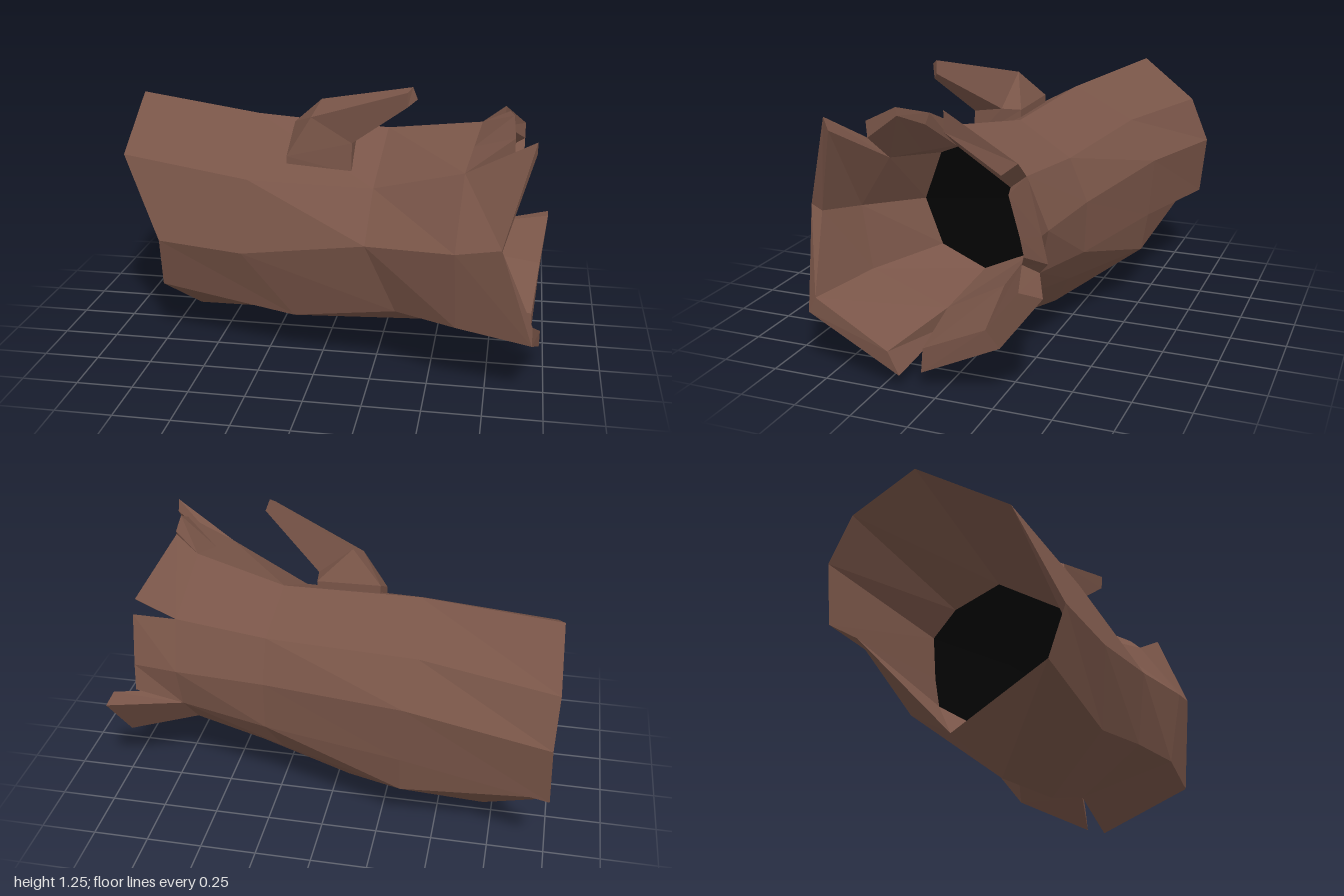
import * as THREE from 'three';

const bark = new THREE.MeshStandardMaterial({ color: 0x795548, flatShading: true, side: THREE.DoubleSide });
bark.name = 'brown bark';
const hollow = new THREE.MeshStandardMaterial({ color: 0x030303, flatShading: true, side: THREE.DoubleSide });
hollow.name = 'black hollow';

// Mesh from quads [a, b, c, d] of points
function quadMesh(name, quads, material) {
  const pos = [];
  for (const [a, b, c, d] of quads) pos.push(...a, ...b, ...c, ...a, ...c, ...d);
  const geo = new THREE.BufferGeometry();
  geo.setAttribute('position', new THREE.Float32BufferAttribute(pos, 3));
  geo.computeVertexNormals();
  const mesh = new THREE.Mesh(geo, material);
  mesh.name = name;
  return mesh;
}

// Quads between successive rows of points
function loft(rows, closed) {
  const quads = [];
  for (let i = 0; i + 1 < rows.length; i++) {
    const n = rows[i].length;
    for (let j = 0; j < (closed ? n : n - 1); j++) {
      const k = (j + 1) % n;
      quads.push([rows[i][j], rows[i][k], rows[i + 1][k], rows[i + 1][j]]);
    }
  }
  return quads;
}

const mix = (a, b, t) => a.map((v, i) => v + (b[i] - v) * t);

// Shallow black cone closing the hollow
function cone(name, ring, apex, flip) {
  const pos = ring.flatMap((p, j) => {
    const q = ring[(j + 1) % ring.length];
    return flip ? [...apex, ...q, ...p] : [...apex, ...p, ...q];
  });
  const geo = new THREE.BufferGeometry();
  geo.setAttribute('position', new THREE.Float32BufferAttribute(pos, 3));
  geo.computeVertexNormals();
  const mesh = new THREE.Mesh(geo, hollow);
  mesh.name = name;
  return mesh;
}

// Nine ridges of the trunk, each running from the cut end to the split end;
// order: front top, front, front low, bottom, back low, back, back mid, back top, top
const ridges = [
  [[-0.97, 0.85, 0.09], [-0.34, 0.81, 0.26], [0.23, 0.81, 0.29], [0.63, 0.94, 0.43]],
  [[-0.76, 0.50, 0.27], [-0.35, 0.50, 0.37], [0.22, 0.61, 0.48], [0.61, 0.65, 0.62]],
  [[-0.77, 0.26, 0.20], [-0.12, 0.20, 0.32], [0.35, 0.30, 0.43], [0.62, 0.30, 0.56]],
  [[-0.71, 0.00, -0.20], [-0.06, 0.03, -0.14], [0.41, 0.08, 0.00], [0.64, 0.15, 0.11]],
  [[-1.00, 0.30, -0.50], [-0.35, 0.24, -0.48], [0.22, 0.27, -0.30], [0.65, 0.33, -0.22]],
  [[-1.00, 0.37, -0.62], [-0.35, 0.42, -0.51], [0.28, 0.43, -0.39], [0.68, 0.47, -0.33]],
  [[-0.99, 0.65, -0.65], [-0.36, 0.69, -0.53], [0.28, 0.66, -0.40], [0.69, 0.66, -0.37]],
  [[-1.00, 0.86, -0.56], [-0.40, 0.87, -0.40], [0.28, 0.85, -0.32], [0.70, 0.88, -0.28]],
  [[-0.99, 1.06, -0.31], [-0.37, 1.02, -0.13], [0.25, 0.99, -0.08], [0.68, 1.06, 0.02]],
];
const rings = [0, 1, 2, 3].map(i => ridges.map(r => r[i]));

// Roots of the flaps outside and inside, with an extra point under the top flap
const base = [...rings[3], mix(rings[3][8], rings[3][0], 0.5)];
const innerBase = base.map(p => mix(p, [p[0], 0.6, 0.08], 0.19));

// Rim of the dark core behind the split end
const throat = [[0.36, 0.84, 0.25], [0.30, 0.60, 0.36], [0.30, 0.39, 0.28], [0.28, 0.29, 0.08],
  [0.25, 0.39, -0.15], [0.25, 0.47, -0.19], [0.25, 0.57, -0.24], [0.25, 0.75, -0.18],
  [0.28, 0.89, 0.00], [0.32, 0.89, 0.12]];

// Splintered flaps: root ridge numbers, outer tips, inner tips as [y, z]
const flaps = [
  ['frontFlap', [0, 1, 2, 3],
    [[0.92, 1.105, 0.50], [0.80, 0.69, 0.65], [0.94, 0.26, 0.605], [0.98, 0.06, 0.17]],
    [[1.05, 0.48], [0.665, 0.60], [0.33, 0.57], [0.16, 0.22]]],
  ['lowerBackFlap', [3, 4, 5],
    [[0.94, 0.07, 0.09], [0.97, 0.25, -0.27], [1.00, 0.50, -0.46]],
    [[0.18, 0.08], [0.32, -0.21], [0.51, -0.36]]],
  ['backSplinter', [5, 6, 7],
    [[0.86, 0.585, -0.43], [0.865, 0.70, -0.405], [0.87, 0.925, -0.35]],
    [[0.60, -0.33], [0.68, -0.315], [0.85, -0.27]]],
  ['upperBackFlap', [7, 8],
    [[0.87, 0.98, -0.31], [0.78, 1.14, 0.04]],
    [[0.925, -0.24], [1.05, 0.04]]],
  ['topFlap', [8, 9, 0],
    [[0.80, 1.13, 0.09], [0.82, 1.145, 0.23], [0.83, 1.08, 0.36]],
    [[1.08, 0.11], [1.11, 0.225], [1.01, 0.355]]],
];

export function createModel() {
  const log = new THREE.Group();
  log.name = 'hollowLog';

  // Outer bark
  log.add(quadMesh('trunk', loft(rings, true), bark));

  // Inside of the cut end, narrowing to a dark core
  const core = rings[1].map(p => mix([-0.25, p[1], p[2]], [-0.25, 0.54, -0.1], 0.25));
  log.add(quadMesh('cutEndInside', loft([core, rings[0]], true).map(q => q.reverse()), bark));
  log.add(cone('cutEndCore', core, [-0.15, 0.54, -0.1], true));

  // Split end: flaps with thickness, inner wall and dark core
  for (const [name, ids, tips, innerYZ] of flaps) {
    const inner = tips.map((p, i) => [p[0], ...innerYZ[i]]);
    const rows = [ids.map(i => base[i]), tips, inner, ids.map(i => innerBase[i])];
    const last = ids.length - 1;
    const quads = loft(rows, false);
    quads.push(rows.map(r => r[0]).reverse(), rows.map(r => r[last]));
    log.add(quadMesh(name, quads, bark));
  }
  log.add(quadMesh('splitEndInside', loft([innerBase, throat], true), bark));
  log.add(cone('splitEndCore', throat, [0.1, 0.58, 0.02], false));

  // Bent branch stub, four-sided sections from root to tip
  const branch = [
    [[-0.18, 0.94, -0.04], [-0.18, 0.84, 0.165], [0.12, 0.80, 0.20], [0.11, 0.93, -0.03]],
    [[-0.18, 1.01, -0.04], [-0.18, 0.90, 0.165], [0.12, 0.845, 0.20], [0.11, 1.00, -0.03]],
    [[-0.04, 1.14, 0.04], [-0.07, 1.08, 0.15], [0.12, 0.98, 0.19], [0.12, 1.00, 0.06]],
    [[0.39, 1.255, 0.25], [0.37, 1.235, 0.275], [0.37, 1.17, 0.27], [0.41, 1.20, 0.24]],
  ];
  log.add(quadMesh('branch', [...loft(branch, true), branch[3]], bark));
  return log;
}
